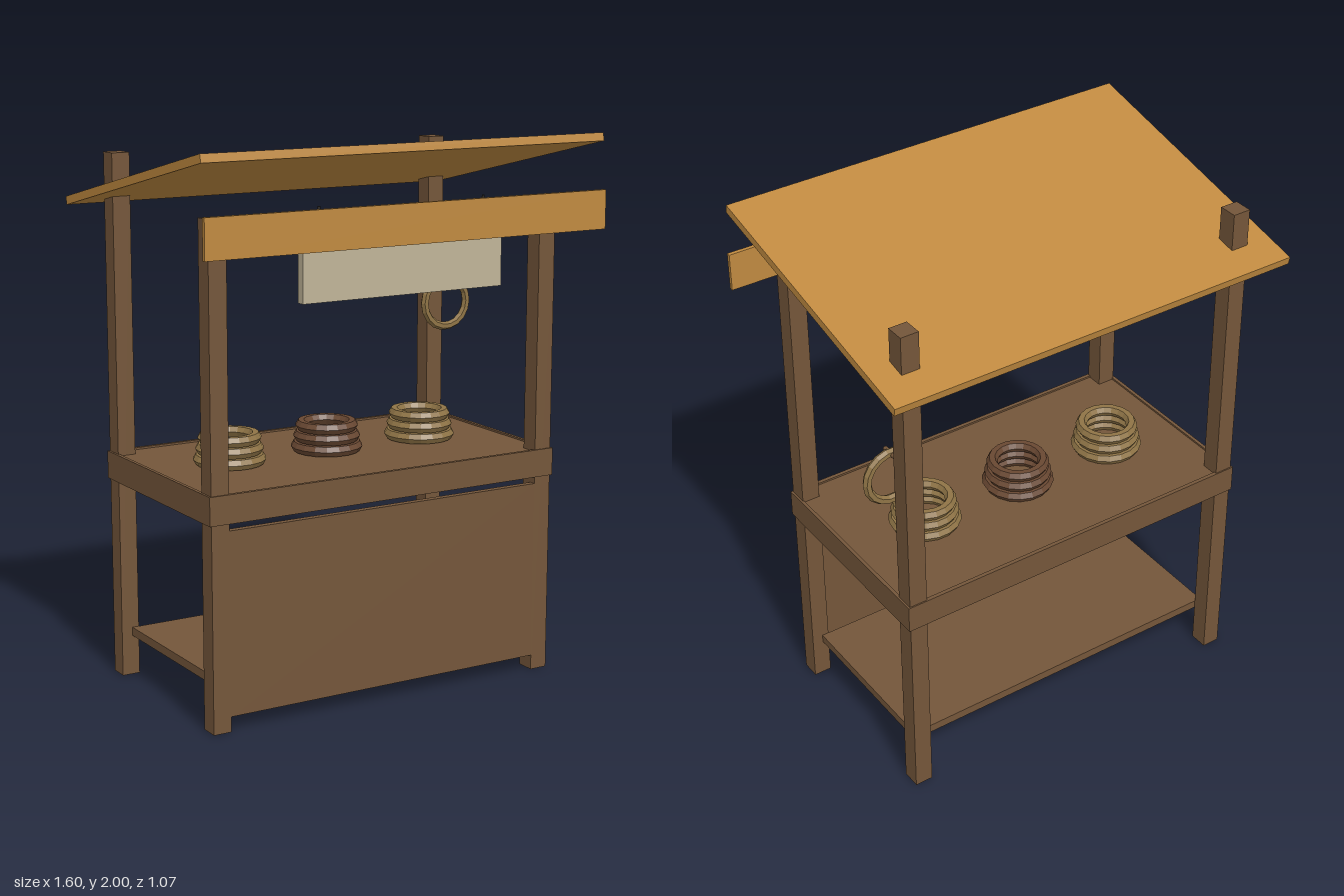
import * as THREE from 'three';

function material(name, color, flatShading = false) {
  const m = new THREE.MeshStandardMaterial({ color, flatShading });
  m.name = name;
  return m;
}

export function createModel() {
  const wood = material('brownWood', 0x74563a);
  const awning = material('ochreAwning', 0xc08a40);
  const board = material('paleBoard', 0xc0b498);
  const rope = material('tanRope', 0x8f7446, true);
  const darkRope = material('darkRope', 0x694832, true);
  const iron = material('darkIron', 0x2c2a28);

  const stall = new THREE.Group();
  stall.name = 'marketStall';

  const add = (name, geometry, mat, x, y, z, parent = stall) => {
    const mesh = new THREE.Mesh(geometry, mat);
    mesh.name = name;
    mesh.position.set(x, y, z);
    parent.add(mesh);
    return mesh;
  };
  // Box given by its lower and upper limits on each axis
  const box = (name, mat, [x0, x1], [y0, y1], [z0, z1]) =>
    add(name, new THREE.BoxGeometry(x1 - x0, y1 - y0, z1 - z0), mat,
      (x0 + x1) / 2, (y0 + y1) / 2, (z0 + z1) / 2);

  // Four posts; the back pair runs up through the roof
  for (const [side, x] of [['left', 0.668], ['right', -0.668]]) {
    const span = [x - 0.034, x + 0.034];
    box(side + 'FrontPost', wood, span, [0, 1.77], [0.3, 0.37]);
    box(side + 'BackPost', wood, span, [0, 1.93], [-0.42, -0.35]);
  }

  // Counter slab with a slightly raised trim around it
  box('counterTop', wood, [-0.697, 0.697], [0.75, 0.835], [-0.41, 0.36]);
  box('frontTrim', wood, [-0.71, 0.71], [0.74, 0.842], [0.36, 0.375]);
  box('backTrim', wood, [-0.71, 0.71], [0.74, 0.842], [-0.425, -0.41]);
  for (const s of [-1, 1]) {
    const xs = [s * 0.697, s * 0.71].sort((a, b) => a - b);
    box('sideTrim', wood, xs, [0.74, 0.842], [-0.41, 0.36]);
  }

  // Front panel set flush between the posts, and the low shelf
  box('frontPanel', wood, [-0.634, 0.634], [0.055, 0.715], [0.345, 0.37]);
  box('lowerShelf', wood, [-0.66, 0.66], [0.148, 0.18], [-0.35, 0.3]);

  // Sloping roof, high at the front, and the valance board
  const roof = add('roof', new THREE.BoxGeometry(1.6, 0.03, 1.07), awning, 0, 1.868, -0.009);
  roof.rotation.x = -0.22;
  box('valance', awning, [-0.8, 0.8], [1.66, 1.8], [0.52, 0.535]);

  // Hanging board on two thin rods
  box('hangingBoard', board, [-0.4, 0.4], [1.48, 1.705], [0.433, 0.465]);
  for (const x of [-0.33, 0.33]) {
    add('hangingRod', new THREE.CylinderGeometry(0.005, 0.005, 0.1, 8), iron, x, 1.75, 0.45);
  }

  // Stacks of three rope rings on the counter, narrowing upward
  const ring = (radius, tube) => new THREE.TorusGeometry(radius, tube, 6, 18);
  const stacks = [[-0.41, rope], [-0.007, darkRope], [0.397, rope]];
  stacks.forEach(([x, mat], n) => {
    const stack = new THREE.Group();
    stack.name = 'ropeStack' + (n + 1);
    stack.position.set(x, 0.837, -0.042);
    stall.add(stack);
    [0.111, 0.102, 0.094].forEach((radius, i) => {
      const coil = add('ropeRing', ring(radius, 0.021), mat, 0, 0.019 + i * 0.039, 0, stack);
      coil.rotation.x = -Math.PI / 2;
    });
  });

  // Rope ring hung from a peg on the left back post
  add('hungRopeRing', ring(0.095, 0.016), rope, 0.667, 1.298, -0.274);
  const peg = add('peg', new THREE.CylinderGeometry(0.009, 0.009, 0.12, 8), wood, 0.667, 1.389, -0.3);
  peg.rotation.x = Math.PI / 2;

  return stall;
}
